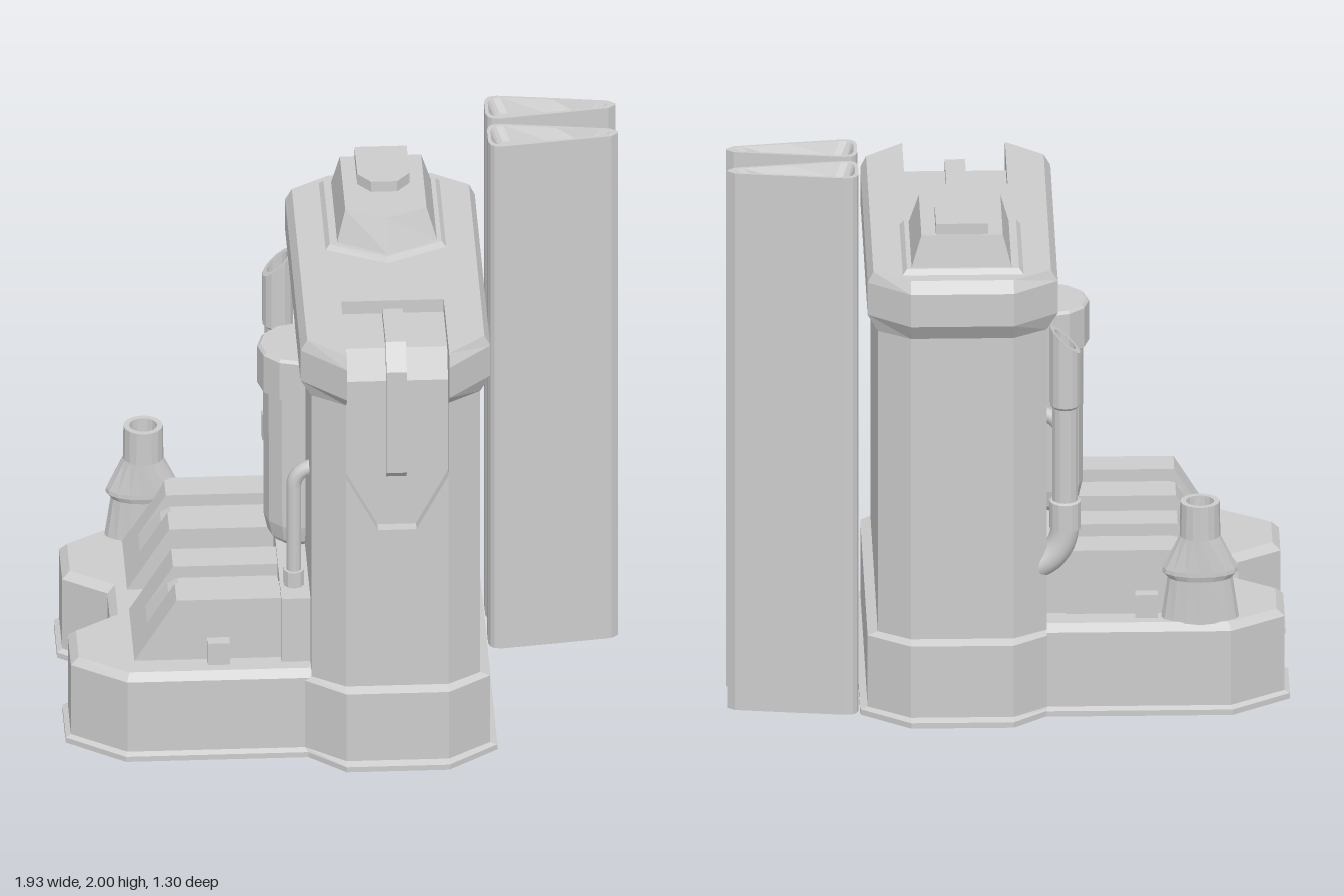
import * as THREE from 'three';

const flat = new THREE.MeshStandardMaterial({ color: 0xcccccc, flatShading: true, side: THREE.DoubleSide });
const smooth = new THREE.MeshStandardMaterial({ color: 0xcccccc, side: THREE.DoubleSide });

// Skin between outlines of [x, z] points stacked as [y, outline]
function loft(levels, bottom = false, top = true) {
  const pos = [];
  const rings = levels.map(([y, pts]) => {
    const ccw = THREE.ShapeUtils.area(pts.map(p => new THREE.Vector2(...p))) > 0;
    return (ccw ? pts : [...pts].reverse()).map(p => [p[0], y, p[1]]);
  });
  for (let k = 0; k < rings.length - 1; k++) {
    const lo = rings[k], hi = rings[k + 1], n = lo.length;
    for (let i = 0; i < n; i++) {
      const j = (i + 1) % n;
      pos.push(...lo[i], ...hi[i], ...hi[j], ...lo[i], ...hi[j], ...lo[j]);
    }
  }
  const cap = (ring, up) => {
    const faces = THREE.ShapeUtils.triangulateShape(ring.map(p => new THREE.Vector2(p[0], p[2])), []);
    for (const [a, b, c] of faces) {
      pos.push(...ring[a], ...(up ? ring[c] : ring[b]), ...(up ? ring[b] : ring[c]));
    }
  };
  if (bottom) cap(rings[0], false);
  if (top) cap(rings[rings.length - 1], true);
  const g = new THREE.BufferGeometry();
  g.setAttribute('position', new THREE.Float32BufferAttribute(pos, 3));
  g.computeVertexNormals();
  return g;
}

const extrude = (pts, depth) => new THREE.ExtrudeGeometry(
  new THREE.Shape(pts.map(p => new THREE.Vector2(...p))), { depth, bevelEnabled: false });
// [x, y] outline extruded from z0 to z1
const extrudeZ = (pts, z0, z1) => extrude(pts, z1 - z0).translate(0, 0, z0);
// [z, y] outline extruded from x0 to x1
const extrudeX = (pts, x0, x1) => extrude(pts, x1 - x0).rotateY(-Math.PI / 2).translate(x1, 0, 0);
const box = (x0, x1, y0, y1, z0, z1) => new THREE.BoxGeometry(x1 - x0, y1 - y0, z1 - z0)
  .translate((x0 + x1) / 2, (y0 + y1) / 2, (z0 + z1) / 2);
const lathe = (pts, sides) => new THREE.LatheGeometry(pts.map(p => new THREE.Vector2(...p)), sides);

// Tower outline with chamfered corners; the front may be cut back to z = notch
const BX0 = -0.015, BX1 = 0.338;
function towerOutline(x0, x1, z0, z1, notch) {
  const pts = [[x0, -0.52], [BX0, z0], [BX1, z0], [x1, -0.52], [x1, 0.51], [BX1, z1]];
  if (notch !== undefined) pts.push([BX1, notch], [BX0, notch]);
  pts.push([BX0, z1], [x0, 0.51]);
  return pts;
}

// Low base outline with a notched end, inset by d
function deckOutline(d) {
  const half = [[-0.13, 0.5425 - d], [-0.77 + 0.3 * d, 0.5425 - d], [-0.97 + d, 0.4 - 0.3 * d],
    [-0.97 + d, 0.178 + 0.6 * d], [-0.82 + d, 0.074 + 0.6 * d]];
  const c = -0.0125;
  return [...half.map(([x, z]) => [x, c + z]), ...half.reverse().map(([x, z]) => [x, c - z])];
}

// Fin outline: blunt rounded nose tapering to a thin edge
function finOutline(z, d) {
  const half = [[0.515 + d, 0.04 - 0.6 * d], [0.522 + d, 0.062 - d], [0.535 + d, 0.074 - d], [0.56 + d, 0.078 - d],
    [0.75, 0.053 - d], [0.94 - 2.5 * d, 0.026 - 0.4 * d], [0.965 - 2.5 * d, 0.005]];
  return [...half.map(([x, w]) => [x, z + w]), ...half.reverse().map(([x, w]) => [x, z - w])];
}

// Pentagon pointing to the front
const pentagon = (x0, x1, z0, z1, tip) => [[x0, z0], [x1, z0], [x1, z1], [(x0 + x1) / 2, tip], [x0, z1]];

const oval = (x, z, rx, rz) => Array.from({ length: 16 }, (_, i) => {
  const a = i / 16 * Math.PI * 2;
  return [x + rx * Math.cos(a), z + rz * Math.sin(a)];
});

export function createModel() {
  const model = new THREE.Group();
  const add = (name, geometry, material = flat, parent = model) => {
    const mesh = new THREE.Mesh(geometry, material);
    mesh.name = name;
    parent.add(mesh);
    return mesh;
  };

  // Hollow bases
  add('deckBase', loft([[0, deckOutline(0)], [0.02, deckOutline(0)], [0.03, deckOutline(0.018)],
    [0.305, deckOutline(0.018)], [0.33, deckOutline(0.045)]]));
  const foot = towerOutline(-0.165, 0.51, -0.65, 0.64);
  const plinth = towerOutline(-0.155, 0.485, -0.625, 0.615);
  const shaft = [-0.13, 0.45, -0.595, 0.585];
  add('towerBase', loft([[0, foot], [0.02, foot], [0.03, plinth], [0.295, plinth],
    [0.31, towerOutline(...shaft)]]));

  // Tower shaft with a pointed recess in the front
  const recess = 0.545;
  add('lowerShaft', loft([[0.31, towerOutline(...shaft)], [0.93, towerOutline(...shaft)]]));
  add('upperShaft', loft([[0.93, towerOutline(...shaft, recess)], [1.44, towerOutline(...shaft, recess)]]));
  add('recessCorner', extrudeZ([[BX0, 0.93], [0.095, 0.93], [BX0, 1.14]], recess, 0.585));
  add('recessCorner', extrudeZ([[BX1, 0.93], [BX1, 1.14], [0.228, 0.93]], recess, 0.585));

  // Cap with a slot, filled by a lowered ledge and a clip bent over the front
  const capWide = towerOutline(-0.168, 0.485, -0.635, 0.655, 0.255);
  add('towerCap', loft([[1.43, towerOutline(...shaft, 0.255)], [1.49, capWide], [1.61, capWide],
    [1.65, towerOutline(-0.145, 0.465, -0.605, 0.625, 0.255)]], true));
  add('capLedge', extrudeX([[0.25, 1.43], [recess, 1.43], [recess, 1.5], [0.49, 1.6], [0.25, 1.6]], BX0, BX1));
  add('frontClip', extrudeX([[0.285, 1.58], [0.5, 1.57], [0.53, 1.5], [0.53, 1.12], [0.545, 1.12],
    [0.575, 1.15], [0.575, 1.55], [0.51, 1.635], [0.285, 1.635]], 0.125, 0.195));

  // Roof hatch
  add('hatchFlange', loft([[1.65, pentagon(-0.05, 0.365, -0.555, -0.1, 0)],
    [1.668, pentagon(-0.035, 0.35, -0.54, -0.11, -0.015)]]));
  add('hatchBody', loft([[1.665, pentagon(-0.01, 0.335, -0.53, -0.12, -0.025)],
    [1.78, pentagon(0.02, 0.3, -0.51, -0.15, -0.085)]]));
  const lid = [[0.07, -0.505], [0.25, -0.505], [0.25, -0.32], [0.205, -0.265], [0.115, -0.265], [0.07, -0.32]];
  add('hatchLid', loft([[1.78, lid], [1.82, lid]]));

  // Two tall fins with shallow pits in their ends
  for (const z of [-0.443, -0.252]) {
    add('fin', loft([[0.05, finOutline(z, 0.035)], [0, finOutline(z, 0.012)], [0, finOutline(z, 0)],
      [2, finOutline(z, 0)], [2, finOutline(z, 0.012)], [1.95, finOutline(z, 0.035)]], true));
  }

  // Two sloped housings, each with a groove along its middle
  for (const [z0, side] of [[-0.43, -1], [0.055, 1]]) {
    const housing = new THREE.Group();
    housing.name = 'housing';
    model.add(housing);
    const z1 = z0 + 0.352, g0 = z0 + 0.12, g1 = z0 + 0.235;
    const wall = [[-0.735, 0.32], [-0.2, 0.32], [-0.2, 0.565], [-0.59, 0.565], [-0.735, 0.33]];
    add('housingWall', extrudeZ(wall, z0, g0), flat, housing);
    add('housingWall', extrudeZ(wall, g1, z1), flat, housing);
    add('housingGroove', extrudeZ([[-0.735, 0.32], [-0.2, 0.32], [-0.2, 0.52], [-0.575, 0.52], [-0.61, 0.5],
      [-0.685, 0.41], [-0.735, 0.33]], g0, g1), flat, housing);
    const x = side > 0 ? -0.485 : -0.515;
    const zl = side > 0 ? z1 : z0 - 0.043;
    add('latch', box(x, x + 0.077, 0.33, 0.415, zl, zl + 0.043), flat, housing);
  }
  add('backPlate', box(-0.23, -0.12, 0.32, 0.58, -0.42, 0.44));

  // Tank standing against the tower
  const tank = lathe([[0, 0.57], [0.08, 0.57], [0.105, 0.6], [0.118, 0.66], [0.12, 1.18], [0.14, 1.18],
    [0.14, 1.325], [0.13, 1.335], [0, 1.335]], 12).translate(-0.15, 0, -0.015);
  add('tank', tank);

  // Thin pipes that bend into the tower
  for (const z of [-0.35, 0.335]) {
    const path = new THREE.CurvePath();
    const p = (x, y) => new THREE.Vector3(x, y, z);
    path.add(new THREE.LineCurve3(p(-0.182, 0.57), p(-0.182, 0.97)));
    path.add(new THREE.QuadraticBezierCurve3(p(-0.182, 0.97), p(-0.182, 1.035), p(-0.1, 1.05)));
    add('thinPipe', new THREE.TubeGeometry(path, 32, 0.026, 10), smooth);
    add('pipeCollar', new THREE.CylinderGeometry(0.036, 0.036, 0.06, 10).translate(-0.182, 0.61, z));
  }

  // Exhaust pipe with a slanted open mouth and an elbow at the foot
  const exhaust = lathe([[0.045, 0.68], [0.056, 0.68], [0.056, 0.78], [0.046, 0.785], [0.046, 1.13], [0.054, 1.14],
    [0.054, 1.38], [0.038, 1.38], [0.038, 1.3], [0, 1.3]], 14);
  const pos = exhaust.attributes.position;
  for (let i = 0; i < pos.count; i++) {
    if (pos.getY(i) > 1.35) pos.setY(i, pos.getY(i) + pos.getX(i) * 0.9);
  }
  add('exhaustPipe', exhaust.translate(-0.195, 0, -0.49));
  const elbow = new THREE.QuadraticBezierCurve3(new THREE.Vector3(-0.195, 0.7, -0.49),
    new THREE.Vector3(-0.195, 0.58, -0.49), new THREE.Vector3(-0.09, 0.54, -0.49));
  add('exhaustElbow', new THREE.TubeGeometry(elbow, 10, 0.05, 14), smooth);

  // Chimney on the deck: oval skirt narrowing to a round open stack
  const ring = (rx, rz) => oval(-0.66, -0.46, rx, rz);
  add('chimney', loft([[0.32, ring(0.135, 0.06)], [0.48, ring(0.112, 0.062)], [0.5, ring(0.13, 0.068)],
    [0.515, ring(0.128, 0.068)], [0.635, ring(0.07, 0.065)], [0.76, ring(0.068, 0.065)],
    [0.76, ring(0.048, 0.046)], [0.7, ring(0.046, 0.044)]]));

  return model;
}
